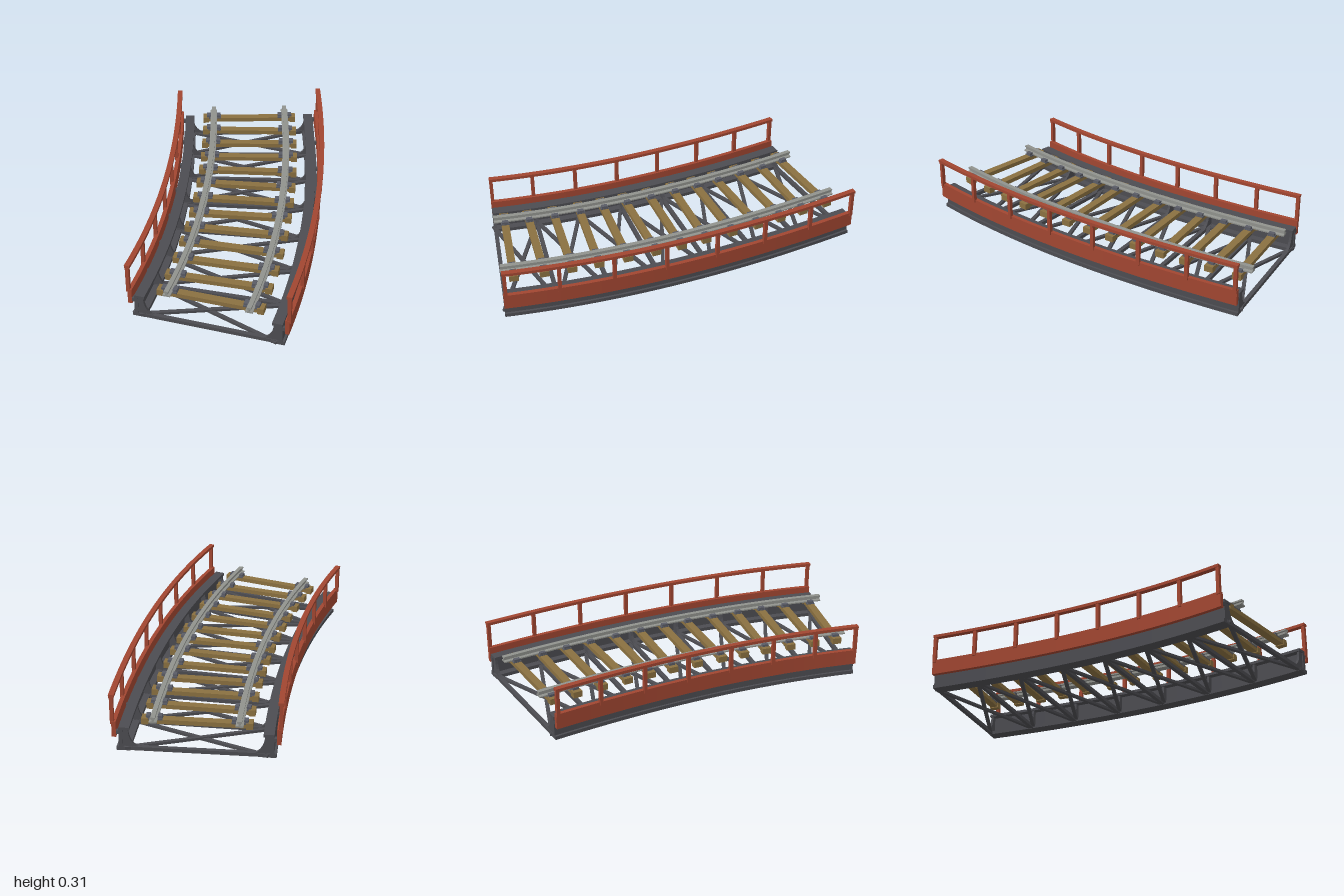
import * as THREE from 'three';

const mat = (name, color) => Object.assign(new THREE.MeshStandardMaterial({ color }), { name });

// Plan-view centreline of the bridge (x, z), running from the back to the front end
const path = new THREE.CubicBezierCurve(
  new THREE.Vector2(-0.6, -0.69), new THREE.Vector2(-0.16, -0.25),
  new THREE.Vector2(0.243, 0.246), new THREE.Vector2(0.52, 0.8));
const SEGMENTS = 28, BAYS = 7, SLEEPERS = 13;

// Point at fraction u along the bridge, moved sideways by off
function at(u, off, y) {
  const p = path.getPointAt(u), t = path.getTangentAt(u);
  return new THREE.Vector3(p.x + t.y * off, y, p.y - t.x * off);
}
function heading(u) {
  const t = path.getTangentAt(u);
  return Math.atan2(t.x, t.y);
}

// Sweep a closed (offset, height) section, counter-clockwise, along the centreline
function sweep(section) {
  const pos = [], n = section.length;
  const rings = [];
  for (let i = 0; i <= SEGMENTS; i++) rings.push(section.map(([o, y]) => at(i / SEGMENTS, o, y)));
  const tri = (...v) => v.forEach(p => pos.push(p.x, p.y, p.z));
  for (let i = 0; i < SEGMENTS; i++) {
    for (let k = 0; k < n; k++) {
      const m = (k + 1) % n, A = rings[i], B = rings[i + 1];
      tri(A[k], A[m], B[m]);
      tri(A[k], B[m], B[k]);
    }
  }
  const caps = THREE.ShapeUtils.triangulateShape(section.map(p => new THREE.Vector2(...p)), []);
  for (const [a, b, c] of caps) {
    tri(rings[0][c], rings[0][b], rings[0][a]);
    tri(rings[SEGMENTS][a], rings[SEGMENTS][b], rings[SEGMENTS][c]);
  }
  const g = new THREE.BufferGeometry();
  g.setAttribute('position', new THREE.Float32BufferAttribute(pos, 3));
  g.computeVertexNormals();
  return g;
}

const mirrored = (section, s) => s > 0 ? section : section.map(([o, y]) => [-o, y]).reverse();
const rect = (o0, o1, y0, y1) => [[o0, y0], [o1, y0], [o1, y1], [o0, y1]];

export function createModel() {
  const red = mat('red paint', 0xa14631);
  const steel = mat('dark steel', 0x4c4c51);
  const railGrey = mat('rail grey', 0x90928d);
  const wood = mat('sleeper wood', 0x8a7040);
  const iron = mat('chair iron', 0x5a5c66);

  const model = new THREE.Group();
  model.name = 'curvedRailwayBridge';
  const add = (name, geometry, material, parent = model) => {
    const m = new THREE.Mesh(geometry, material);
    m.name = name;
    parent.add(m);
    return m;
  };
  const beam = (name, a, b, w, h) => {
    const m = add(name, new THREE.BoxGeometry(w, h, a.distanceTo(b)), steel);
    m.position.copy(a).lerp(b, 0.5);
    m.lookAt(b);
  };
  const box = (name, w, h, d, x, y, material, parent) => {
    const m = add(name, new THREE.BoxGeometry(w, h, d), material, parent);
    m.position.set(x, y, 0);
  };

  // Side girders, red fascia, handrails and running rails
  const girder = [[0.33, 0], [0.4, 0], [0.4, 0.02], [0.388, 0.02], [0.388, 0.13],
    [0.334, 0.13], [0.334, 0.115], [0.368, 0.115], [0.368, 0.02], [0.33, 0.02]];
  const rail = [[0.195, 0.163], [0.235, 0.163], [0.235, 0.17], [0.22, 0.173], [0.22, 0.183],
    [0.227, 0.186], [0.227, 0.195], [0.203, 0.195], [0.203, 0.186], [0.21, 0.183], [0.21, 0.173], [0.195, 0.17]];
  for (const s of [1, -1]) {
    const side = s > 0 ? 'left' : 'right';
    const run = (name, section, material) => add(side + name, sweep(mirrored(section, s)), material);
    run('Girder', girder, steel);
    run('Fascia', rect(0.4, 0.422, 0.075, 0.16), red);
    run('Handrail', rect(0.404, 0.432, 0.295, 0.311), red);
    run('Rail', rail, railGrey);

    for (let i = 0; i <= BAYS; i++) {
      const u = THREE.MathUtils.clamp(i / BAYS, 0.006, 0.994);
      // Handrail posts
      const post = add(side + 'Post', new THREE.BoxGeometry(0.019, 0.155, 0.019), red);
      post.position.copy(at(u, s * 0.419, 0.2225));
      post.rotation.y = heading(u);
      // Brackets tying the fascia to the girder
      beam(side + 'Bracket', at(u, s * 0.38, 0.1), at(u, s * 0.405, 0.1), 0.02, 0.02);
      // Web stiffeners with a curved gusset
      const shape = new THREE.Shape();
      shape.moveTo(0, 0);
      shape.lineTo(-0.09, 0);
      shape.quadraticCurveTo(-0.032, 0.015, -0.028, 0.1);
      shape.lineTo(0, 0.1);
      const plate = new THREE.ExtrudeGeometry(shape, { depth: 0.014, bevelEnabled: false, curveSegments: 5 });
      plate.translate(0, 0, -0.007);
      const gusset = add(side + 'Gusset', plate, steel);
      gusset.position.copy(at(u, s * 0.37, 0.017));
      gusset.rotation.y = heading(u) + (s > 0 ? 0 : Math.PI);
    }
  }

  // Cross beams at every joint
  for (let i = 0; i <= BAYS; i++) {
    const u = THREE.MathUtils.clamp(i / BAYS, 0.006, 0.994);
    beam('crossBeam', at(u, -0.37, 0.012), at(u, 0.37, 0.012), 0.022, 0.02);
  }

  // Lateral bracing in each bay
  for (let i = 0; i < BAYS; i++)
    for (const s of [1, -1])
      beam('lateralBrace', at(i / BAYS, s * 0.36, 0.013 + s * 0.003),
        at((i + 1) / BAYS, -s * 0.36, 0.013 + s * 0.003), 0.02, 0.014);

  // Sleepers with thicker ends and iron chairs beside each rail
  for (let i = 0; i < SLEEPERS; i++) {
    const u = 0.034 + 0.932 * i / (SLEEPERS - 1);
    const sleeper = new THREE.Group();
    sleeper.name = 'sleeper';
    sleeper.position.copy(at(u, 0, 0));
    sleeper.rotation.y = heading(u) + 0.025 * Math.sin(i * 4.7);
    model.add(sleeper);
    box('sleeperBody', 0.5, 0.024, 0.042, 0, 0.148, wood, sleeper);
    for (const s of [1, -1]) {
      box('sleeperEnd', 0.034, 0.034, 0.05, s * 0.262, 0.148, wood, sleeper);
      box('railPlate', 0.085, 0.008, 0.044, s * 0.215, 0.161, iron, sleeper);
      for (const k of [1, -1])
        box('railChair', 0.022, 0.016, 0.034, s * 0.215 + k * 0.03, 0.17, iron, sleeper);
    }
  }
  return model;
}
